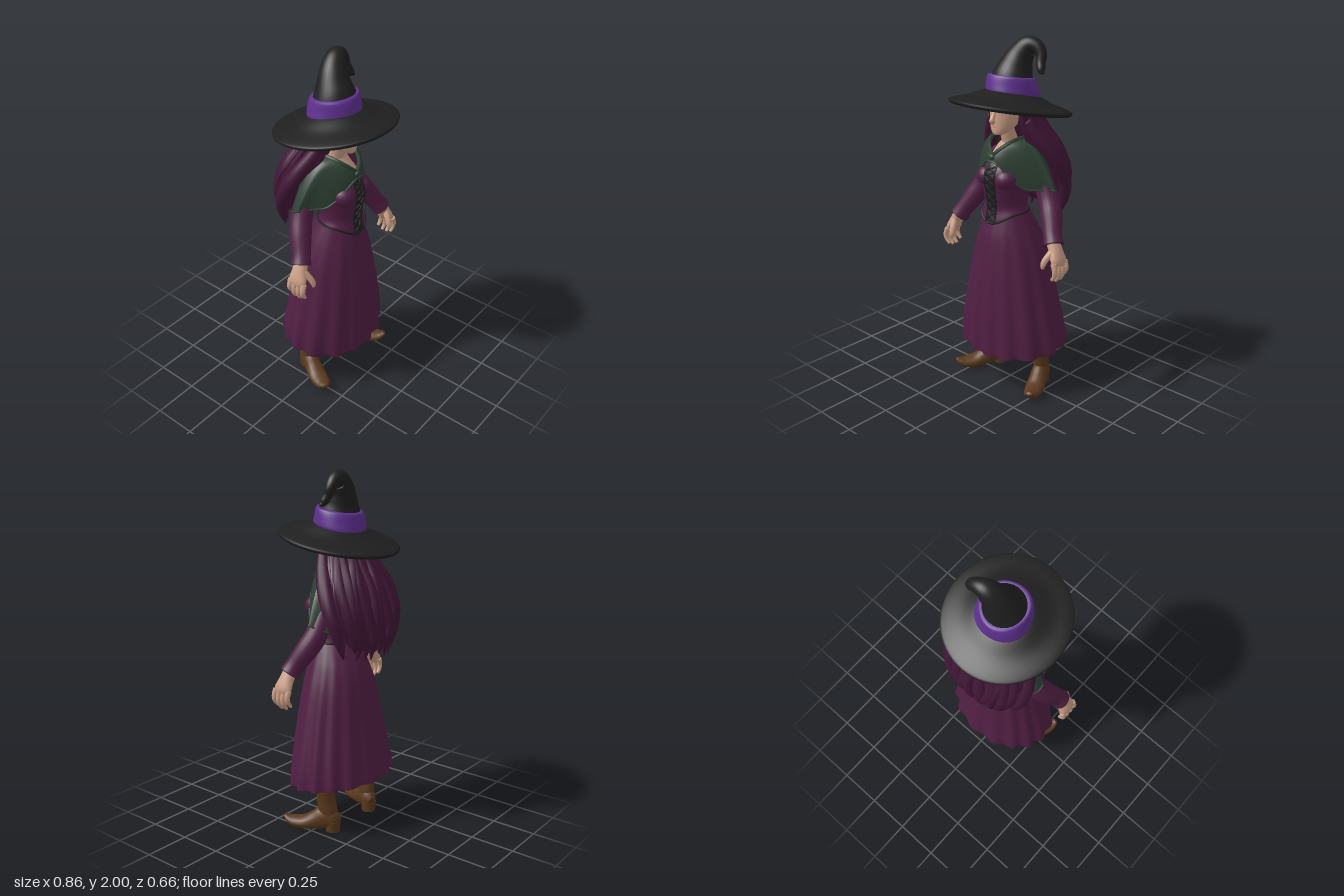
import * as THREE from 'three';

const mat = (name, color, side = THREE.FrontSide) => {
  const m = new THREE.MeshStandardMaterial({ color, side });
  m.name = name;
  return m;
};
const V = (x, y, z) => new THREE.Vector3(x, y, z);

// Smooth interpolation of a short table of rows, t in 0..1
function sample(rows, t) {
  const f = Math.min(Math.max(t, 0), 1) * (rows.length - 1);
  const i = Math.min(Math.floor(f), rows.length - 2), s = f - i;
  const row = k => rows[Math.min(Math.max(k, 0), rows.length - 1)];
  return rows[0].map((_, k) => {
    const [a, b, c, d] = [row(i - 1)[k], row(i)[k], row(i + 1)[k], row(i + 2)[k]];
    return b + 0.5 * s * (c - a + s * (2 * a - 5 * b + 4 * c - d + s * (3 * (b - c) + d - a)));
  });
}

// Grid surface from a function of (u, v); wraps around in u when closed
function surface(nu, nv, fn, closed = true) {
  const pos = [], idx = [], w = closed ? nu : nu + 1;
  for (let j = 0; j <= nv; j++)
    for (let i = 0; i < w; i++) pos.push(...fn(i / nu, j / nv).toArray());
  for (let j = 0; j < nv; j++)
    for (let i = 0; i < nu; i++) {
      const a = j * w + i, b = j * w + (i + 1) % w;
      idx.push(a, b, b + w, a, b + w, a + w);
    }
  const g = new THREE.BufferGeometry();
  g.setAttribute('position', new THREE.Float32BufferAttribute(pos, 3));
  g.setIndex(idx);
  g.computeVertexNormals();
  return g;
}

// Point on stacked oval rings, rows [y, halfWidth, zFront, zBack]; angle 0 faces front
function ringPoint(rows, th, t, k = 1) {
  const [y, rx, zf, zb] = sample(rows, t);
  return V(rx * k * Math.sin(th), y, (zf + zb) / 2 + (zf - zb) / 2 * k * Math.cos(th));
}
const loft = (rows, nu, nv, k = () => 1, mod = p => p) => surface(nu, nv, (u, v) => {
  const th = u * Math.PI * 2;
  return mod(ringPoint(rows, th, v, k(th, v)), th, v);
});

// Closed tapered tube along rows [x, y, z, radiusA, radiusB]
function sweep(rows, ref = V(0, 0, 1), sides = 16, steps = rows.length * 5) {
  const at = t => V(...sample(rows, t).slice(0, 3));
  return surface(sides, steps + 2, (u, v) => {
    const j = Math.round(v * (steps + 2)) - 1, t = Math.min(Math.max(j / steps, 0), 1);
    const k = j < 0 || j > steps ? 0.001 : 1;
    const T = at(Math.min(t + 0.01, 1)).sub(at(Math.max(t - 0.01, 0))).normalize();
    const B = ref.clone().addScaledVector(T, -ref.dot(T)).normalize();
    const A = B.clone().cross(T), r = sample(rows, t), th = u * Math.PI * 2;
    return at(t).addScaledVector(A, r[3] * k * Math.cos(th)).addScaledVector(B, (r[4] ?? r[3]) * k * Math.sin(th));
  });
}
const cord = (pts, r, closed = false) =>
  new THREE.TubeGeometry(new THREE.CatmullRomCurve3(pts, closed), pts.length * 3, r, 6, closed);

export function createModel() {
  const root = new THREE.Group();
  const black = mat('hat black', 0x1f1f1f), purple = mat('band purple', 0x5f3090);
  const hairM = mat('hair plum', 0x421737), dress = mat('dress plum', 0x511f43, THREE.DoubleSide);
  const green = mat('cape green', 0x2d4033, THREE.DoubleSide), skin = mat('skin', 0xcb9f86);
  const brown = mat('boot brown', 0x5b391d), lip = mat('lip rose', 0xb98472), dark = mat('eye dark', 0x3a2622);
  const add = (name, geo, m, parent = root) => {
    const mesh = new THREE.Mesh(geo, m);
    mesh.name = name;
    parent.add(mesh);
    return mesh;
  };
  const blob = (name, m, p, s) => {
    const b = add(name, new THREE.SphereGeometry(1, 20, 14), m);
    b.position.set(...p);
    b.scale.set(...s);
  };

  // Hat: tilted brim, band and curling crown
  const tilted = (rows, slope, wob = 0) => surface(64, (rows.length - 1) * 4, (u, v) => {
    const th = u * Math.PI * 2, [r, y] = sample(rows, v);
    const k = 1 + wob * Math.sin(3 * th + v * 5), z = r * k * Math.cos(th);
    return V(r * k * Math.sin(th), y + slope * z, z);
  });
  add('hatBrim', tilted([[0.08, 1.66], [0.22, 1.637], [0.308, 1.612], [0.328, 1.63],
    [0.3, 1.644], [0.22, 1.668], [0.14, 1.705], [0.08, 1.72]], 0.185), black);
  const band = add('hatBand', tilted([[0.12, 1.69], [0.143, 1.695], [0.138, 1.735], [0.126, 1.785], [0.105, 1.79]], 0.16, 0.025), purple);
  band.position.set(0.004, 0, -0.008);
  add('hatCrown', sweep([[0, 1.68, -0.005, 0.132], [0.006, 1.77, -0.008, 0.116], [0.016, 1.84, -0.025, 0.09],
    [0.036, 1.9, -0.043, 0.07], [0.075, 1.948, -0.058, 0.053], [0.122, 1.945, -0.068, 0.038],
    [0.152, 1.91, -0.068, 0.03], [0.16, 1.87, -0.055, 0.025], [0.176, 1.835, -0.04, 0.021], [0.194, 1.82, -0.034, 0.007]],
    V(0, 0, 1), 28), black);

  // Head and neck
  add('head', loft([[1.49, 0.002, 0.1, 0.09], [1.495, 0.03, 0.121, 0.06], [1.515, 0.052, 0.127, 0.02], [1.545, 0.071, 0.127, -0.03],
    [1.585, 0.081, 0.126, -0.06], [1.62, 0.085, 0.125, -0.08], [1.66, 0.085, 0.128, -0.09], [1.72, 0.07, 0.1, -0.07]], 40, 32), skin);
  add('neck', sweep([[0, 1.36, -0.01, 0.058], [0, 1.44, 0, 0.048], [0, 1.54, 0.03, 0.046]]), skin);
  add('nose', sweep([[0, 1.628, 0.12, 0.008], [0, 1.595, 0.135, 0.011], [0, 1.572, 0.145, 0.014], [0, 1.562, 0.13, 0.01]]), skin);
  blob('upperLip', lip, [0, 1.546, 0.125], [0.02, 0.004, 0.006]);
  blob('lowerLip', lip, [0, 1.538, 0.124], [0.016, 0.004, 0.006]);

  // Hair: ridged mass with loose locks over it
  const hairRows = [[1.05, 0.002, -0.23, -0.235], [1.08, 0.16, -0.19, -0.27], [1.15, 0.205, -0.15, -0.29], [1.22, 0.232, -0.125, -0.29],
    [1.32, 0.245, -0.09, -0.272], [1.4, 0.228, -0.045, -0.246], [1.48, 0.186, 0, -0.212], [1.56, 0.146, 0.035, -0.173],
    [1.63, 0.127, 0.05, -0.15], [1.69, 0.11, 0.06, -0.12], [1.73, 0.08, 0.04, -0.09]];
  add('hair', loft(hairRows, 120, 50, (th, t) => 1 + 0.028 * Math.sin(15 * th + 6 * t) + 0.015 * Math.sin(26 * th - 8 * t)), hairM);
  for (let i = -5; i <= 5; i++) {
    const th = Math.PI + i * 0.26, rows = [];
    [0.85, 0.65, 0.5, 0.35, 0.22, 0.13].forEach((t, j) => {
      const p = ringPoint(hairRows, th + 0.1 * Math.sin(j * 1.5 + i * 2), t, 0.89);
      rows.push([p.x, p.y, p.z, [0.018, 0.025, 0.033, 0.036, 0.032, 0.025][j]]);
    });
    const e = rows[5];
    rows.push([e[0] * 0.98 + 0.02 * Math.sin(i * 3), 1.03 + 0.03 * Math.sin(i * 2.3), e[2] + 0.012, 0.003]);
    add('hairLock', sweep(rows, V(0, 0, 1), 10), hairM);
  }

  // Eyes, locks framing the face and long locks over the shoulders
  for (const s of [-1, 1]) {
    blob('eye', dark, [s * 0.036, 1.625, 0.116], [0.013, 0.004, 0.005]);
    add('faceLock', sweep([[s * 0.09, 1.7, 0.04, 0.02], [s * 0.11, 1.62, 0.03, 0.022], [s * 0.116, 1.54, 0.012, 0.024],
      [s * 0.13, 1.47, -0.01, 0.026], [s * 0.175, 1.4, -0.05, 0.024]], V(0, 0, 1), 12), hairM);
    add('sideLock', sweep([[s * 0.125, 1.57, 0.01, 0.025], [s * 0.165, 1.49, -0.025, 0.036], [s * 0.212, 1.4, -0.075, 0.042],
      [s * 0.242, 1.31, -0.125, 0.042], [s * 0.248, 1.22, -0.165, 0.036], [s * 0.225, 1.12, -0.185, 0.028], [s * 0.2, 1.03, -0.19, 0.004]],
      V(0, 0, 1), 12), hairM);
  }

  // Skirt with deepening folds and a hem that dips in front
  add('skirt', loft([[0.272, 0.326, 0.228, -0.274], [0.29, 0.329, 0.229, -0.276], [0.4, 0.314, 0.226, -0.262], [0.6, 0.272, 0.212, -0.23], [0.8, 0.225, 0.19, -0.198],
    [0.92, 0.186, 0.172, -0.165], [1.0, 0.153, 0.152, -0.125], [1.09, 0.112, 0.125, -0.07]], 144, 36,
    (th, t) => 1 + 0.042 * (1 - t) ** 1.3 * Math.sin(15 * th + 0.9 * Math.sin(3 * th)),
    (p, th, t) => { p.y -= 0.036 * Math.cos(th) * Math.max(0, 1 - 2 * t) ** 1.5; return p; }), dress);

  // Bodice with pointed hem
  const torsoRows = [[1.07, 0.134, 0.166, -0.08], [1.11, 0.12, 0.148, -0.078], [1.18, 0.128, 0.158, -0.09],
    [1.26, 0.142, 0.17, -0.1], [1.31, 0.135, 0.155, -0.1], [1.35, 0.125, 0.126, -0.1]];
  const torso = (th, t, k = 1) => {
    const p = ringPoint(torsoRows, th, t, k);
    p.y -= 0.06 * Math.max(0, Math.cos(th)) ** 3 * (1 - t) ** 5;
    return p;
  };
  const TAU = Math.PI * 2;
  add('bodice', surface(64, 30, (u, v) => torso(u * TAU, v)), dress);
  add('chest', loft([[1.335, 0.118, 0.124, -0.09], [1.38, 0.095, 0.088, -0.075], [1.42, 0.075, 0.058, -0.065], [1.45, 0.04, 0.04, -0.04]], 40, 12), skin);
  add('bodiceTrim', cord(Array.from({ length: 40 }, (_, i) => torso(i / 40 * TAU, 0, 1.01)), 0.006, true), black);
  for (const s of [-1, 1]) blob('bust', dress, [s * 0.064, 1.258, 0.1], [0.066, 0.06, 0.072]);

  // Front lacing
  add('lacingPanel', surface(8, 24, (u, v) => torso((u - 0.5) * 0.46, v * 0.92, 1.025), false), black);
  for (const s of [-1, 1]) {
    add('lacingEdge', cord(Array.from({ length: 9 }, (_, i) => torso(s * 0.23, i / 8 * 0.92, 1.03)), 0.006), black);
    for (let i = 0; i < 7; i++)
      add('lace', cord([torso(-s * 0.2, 0.05 + i * 0.12, 1.03), torso(0, 0.1 + i * 0.12, 1.05), torso(s * 0.2, 0.16 + i * 0.12, 1.03)], 0.006), black);
  }

  // Shoulder cape: V neckline, two front flaps swept back below the knot, longer at the back
  const cape = (th, s) => {
    const c = Math.cos(th), sn = Math.sin(th), w = Math.abs(sn);
    const top = V(0.085 * sn, c > 0 ? 1.385 + 0.085 * w : 1.47, 0.01 + (c > 0 ? 0.128 : 0.08) * c);
    const k = 1 + 0.02 * Math.sin(9 * th) * w;
    const low = V(0.285 * sn * k, 1.355 - 0.145 * THREE.MathUtils.smoothstep(w, 0.04, 0.66), -0.03 + (c > 0 ? 0.185 * c ** 3 : 0.13 * c * k));
    if (c < 0) low.y = 1.21 + 0.07 * c;
    const a = s ** 0.66;
    return V(top.x + (low.x - top.x) * a, top.y + (low.y - top.y) * s ** 1.3, top.z + (low.z - top.z) * a + 0.06 * c * w * s * (1 - s));
  };
  add('cape', surface(96, 16, (u, v) => cape(u * TAU, 1 - v)), green);
  for (const [name, s, r] of [['capeHem', 1, 0.006], ['capeCollar', 0, 0.011]])
    add(name, cord(Array.from({ length: 64 }, (_, i) => cape(i / 64 * TAU, s)), r, true), green);
  blob('capeKnot', green, [0, 1.378, 0.148], [0.02, 0.017, 0.014]);

  // Arms, hands and boots, mirrored
  for (const s of [-1, 1]) {
    const arm = new THREE.Group();
    arm.name = s > 0 ? 'leftArm' : 'rightArm';
    root.add(arm);
    const limb = (name, rows, m, sides) => add(name, sweep(rows.map(([x, ...r]) => [x * s, ...r]), V(0, 0, 1), sides), m, arm);
    limb('sleeve', [[0.09, 1.36, -0.03, 0.04], [0.145, 1.325, -0.04, 0.05], [0.192, 1.25, -0.045, 0.053], [0.24, 1.15, -0.04, 0.06],
      [0.286, 1.07, -0.01, 0.06], [0.33, 0.99, 0.032, 0.051], [0.355, 0.945, 0.05, 0.056]], dress, 20);
    limb('palm', [[0.35, 0.96, 0.05, 0.034, 0.038], [0.375, 0.915, 0.055, 0.032, 0.044], [0.398, 0.87, 0.06, 0.027, 0.054],
      [0.405, 0.842, 0.062, 0.016, 0.047]], skin);
    [0.016, 0.046, 0.076, 0.106].forEach((z, i) => {
      const d = [0.018, 0, 0, 0.012][i];
      limb('finger', [[0.402, 0.865, z, 0.016], [0.414, 0.82 + d / 2, z + 0.002, 0.015], [0.41, 0.785 + d, z, 0.013], [0.39, 0.758 + d, z - 0.002, 0.009]], skin, 8);
    });
    limb('thumb', [[0.37, 0.92, 0.08, 0.02], [0.353, 0.88, 0.11, 0.018], [0.346, 0.85, 0.124, 0.015], [0.346, 0.828, 0.128, 0.008]], skin, 8);

    const boot = new THREE.Group();
    boot.name = s > 0 ? 'leftBoot' : 'rightBoot';
    boot.position.set(s * 0.185, 0, -0.055);
    boot.rotation.y = s * 0.45;
    root.add(boot);
    add('bootShaft', sweep([[0, 0.05, -0.02, 0.042, 0.05], [0, 0.13, -0.01, 0.044, 0.054], [0, 0.2, 0, 0.045, 0.052],
      [0, 0.3, 0, 0.052, 0.06], [0, 0.45, 0, 0.056, 0.062]], V(0, 0, 1), 20), brown, boot);
    add('bootFoot', sweep([[0, 0.062, -0.082, 0.02, 0.03], [0, 0.068, -0.05, 0.042, 0.056], [0, 0.078, 0, 0.047, 0.068],
      [0, 0.056, 0.06, 0.05, 0.054], [0, 0.038, 0.125, 0.054, 0.037], [0, 0.037, 0.185, 0.047, 0.03],
      [0, 0.051, 0.222, 0.032, 0.02], [0, 0.067, 0.242, 0.014, 0.009]], V(0, 1, 0), 20), brown, boot);
    const heel = add('bootHeel', new THREE.CylinderGeometry(0.044, 0.04, 0.06, 18), brown, boot);
    heel.position.set(0, 0.03, -0.04);
  }
  return root;
}
